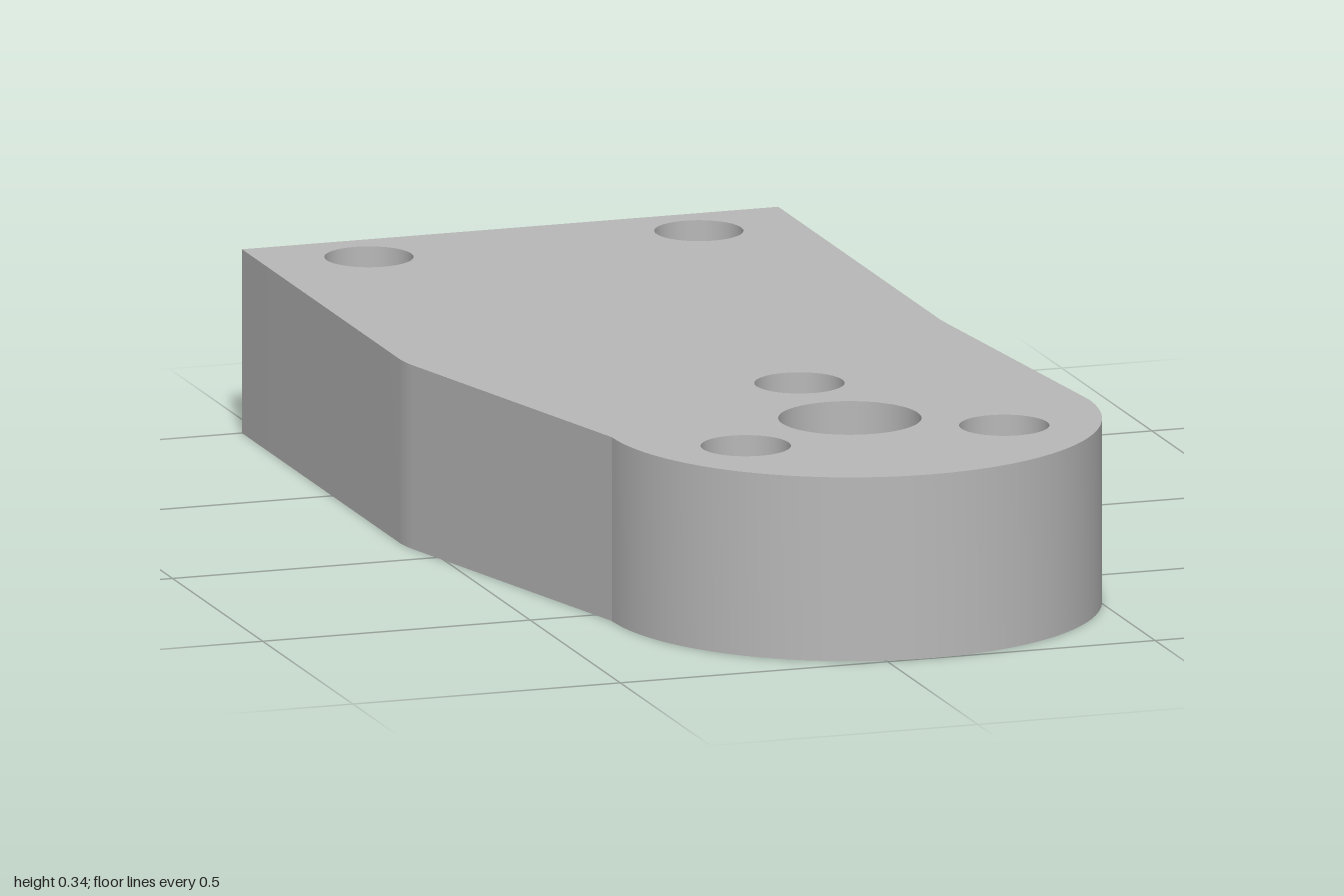
import * as THREE from 'three';
import { toCreasedNormals } from 'three/addons/utils/BufferGeometryUtils.js';

const H = 0.335;      // plate thickness
const DEPTH = 0.22;   // depth of the blind holes
const SEG = 48;
const END = { x: 0.081, z: 0.553, r: 0.446 }; // rounded front end

// Holes: centre x, z and radius
const throughHoles = [
  { name: 'rearHoleRight', x: -0.338, z: -0.874, r: 0.079 },
  { name: 'rearHoleLeft', x: 0.279, z: -0.874, r: 0.079 },
  { name: 'centreBore', x: END.x, z: END.z - 0.003, r: 0.127 },
];
const blindHoles = [0, 1, 2].map((i) => {
  const a = (i * 2 * Math.PI) / 3;
  return { name: 'blindHole' + (i + 1), x: END.x + 0.279 * Math.sin(a), z: 0.55 - 0.279 * Math.cos(a), r: 0.08 };
});

// Plan outline, drawn with shape y = -z
function outline(holes) {
  const s = new THREE.Shape();
  s.moveTo(0.47, 1);
  s.lineTo(-0.533, 1);
  s.lineTo(-0.533, 0.13);
  s.quadraticCurveTo(-0.533, 0.1, -0.525, 0.07);
  s.lineTo(END.x - END.r, -END.z);
  s.absarc(END.x, -END.z, END.r, Math.PI, 2 * Math.PI, false);
  s.lineTo(0.473, 0.06);
  s.quadraticCurveTo(0.47, 0.09, 0.47, 0.12);
  s.closePath();
  for (const h of holes) {
    const p = new THREE.Path();
    p.absarc(h.x, -h.z, h.r, 0, 2 * Math.PI, true);
    s.holes.push(p);
  }
  return s;
}

export function createModel() {
  const group = new THREE.Group();
  const grey = new THREE.MeshStandardMaterial({ color: 0xb8b8b8 });
  grey.name = 'grey metal';

  const add = (name, geometry, x = 0, y = 0, z = 0) => {
    const mesh = new THREE.Mesh(geometry, grey);
    mesh.name = name;
    mesh.position.set(x, y, z);
    group.add(mesh);
  };

  // Top face, pierced by every hole
  const top = new THREE.ShapeGeometry(outline([...throughHoles, ...blindHoles]), SEG);
  add('topFace', top.rotateX(-Math.PI / 2), 0, H);

  // Bottom face, pierced by the through holes only
  const bottom = new THREE.ShapeGeometry(outline(throughHoles), SEG).rotateX(-Math.PI / 2);
  bottom.index.array.reverse();
  bottom.computeVertexNormals();
  add('bottomFace', bottom);

  // Outer wall: the side group of the extruded outline
  const solid = new THREE.ExtrudeGeometry(outline([]), { depth: H, bevelEnabled: false, curveSegments: SEG });
  const side = solid.groups[1];
  const wall = new THREE.BufferGeometry();
  wall.setAttribute('position', new THREE.BufferAttribute(
    solid.attributes.position.array.slice(side.start * 3, (side.start + side.count) * 3), 3));
  add('outerWall', toCreasedNormals(wall.rotateX(-Math.PI / 2), 0.15));

  // Hole walls, with the profile running downward so they face inward
  const bore = (h, floorY) => add(h.name, new THREE.LatheGeometry(
    [new THREE.Vector2(h.r, H), new THREE.Vector2(h.r, floorY)], SEG * 2), h.x, 0, h.z);
  for (const h of throughHoles) bore(h, 0);
  for (const h of blindHoles) {
    bore(h, H - DEPTH);
    add(h.name + 'Floor', new THREE.CircleGeometry(h.r, SEG * 2).rotateX(-Math.PI / 2), h.x, H - DEPTH, h.z);
  }
  return group;
}
